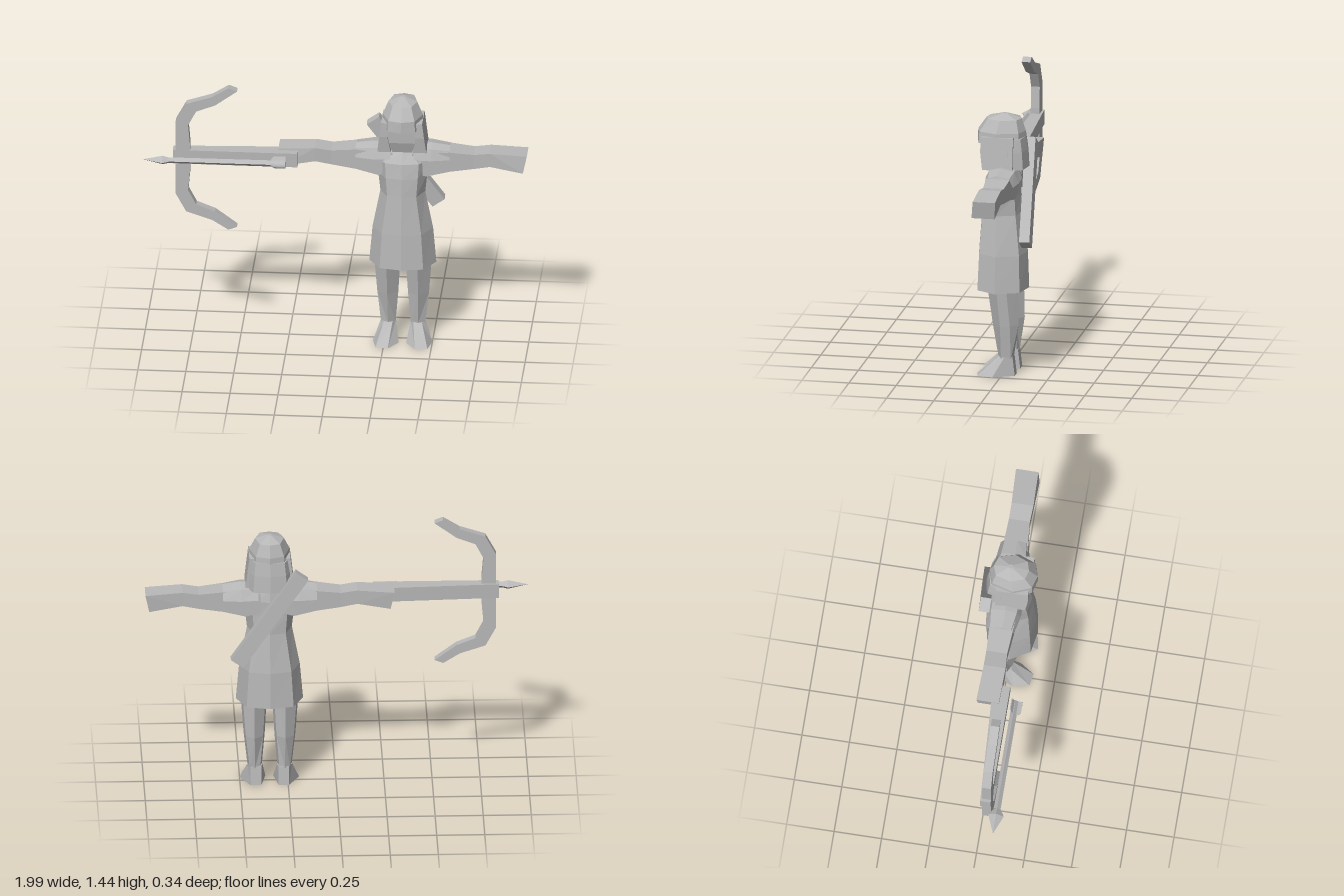
import * as THREE from 'three';

const CX = 0.345; // the figure stands to one side of the weapon

// Skin a list of equal-length cross-sections; capped solids are wound outward automatically.
function loft(rings, open = false) {
  const pos = [], n = rings[0].length;
  const tri = (a, b, c) => pos.push(...a, ...b, ...c);
  for (let i = 0; i < rings.length - 1; i++) {
    const a = rings[i], b = rings[i + 1];
    for (let j = 0; j < (open ? n - 1 : n); j++) {
      const k = (j + 1) % n;
      tri(a[j], a[k], b[k]);
      tri(a[j], b[k], b[j]);
    }
  }
  if (!open) {
    [rings[0], rings[rings.length - 1]].forEach((r, e) => {
      const c = [0, 1, 2].map(q => r.reduce((s, p) => s + p[q], 0) / n);
      for (let j = 0; j < n; j++) {
        const p = r[j], q = r[(j + 1) % n];
        if (e) tri(c, p, q); else tri(c, q, p);
      }
    });
    let vol = 0;
    const a = new THREE.Vector3(), b = new THREE.Vector3(), c = new THREE.Vector3();
    for (let i = 0; i < pos.length; i += 9) {
      a.fromArray(pos, i); b.fromArray(pos, i + 3); c.fromArray(pos, i + 6);
      vol += a.dot(b.cross(c));
    }
    if (vol < 0) {
      for (let i = 0; i < pos.length; i += 9) {
        for (let q = 0; q < 3; q++) [pos[i + 3 + q], pos[i + 6 + q]] = [pos[i + 6 + q], pos[i + 3 + q]];
      }
    }
  }
  const g = new THREE.BufferGeometry();
  g.setAttribute('position', new THREE.Float32BufferAttribute(pos, 3));
  g.computeVertexNormals();
  return g;
}

// Eight-sided horizontal section: height, half width, front z, back z
const oct = ([y, w, f, b]) => {
  const m = (f + b) / 2, h = (f - b) / 2;
  return [[0, 1], [0.65, 0.85], [1, 0.1], [0.7, -0.8], [0, -1], [-0.7, -0.8], [-1, 0.1], [-0.65, 0.85]]
    .map(([x, z]) => [x * w, y, m + z * h]);
};
// Rectangular sections across x or y
const rectX = (x, y0, y1, z0, z1) => [[x, y0, z0], [x, y1, z0], [x, y1, z1], [x, y0, z1]];
const rectY = (y, x0, x1, z0, z1) => [[x0, y, z0], [x0, y, z1], [x1, y, z1], [x1, y, z0]];

export function createModel() {
  const model = new THREE.Group();
  const figure = new THREE.Group();
  figure.name = 'figure';
  figure.position.x = CX;
  const weapon = new THREE.Group();
  weapon.name = 'crossbow';
  model.add(figure, weapon);
  const grey = new THREE.MeshStandardMaterial({ color: 0xb8b8b8, flatShading: true, side: THREE.DoubleSide });
  grey.name = 'plain grey';
  const add = (parent, name, geo) => {
    const m = new THREE.Mesh(geo, grey);
    m.name = name;
    parent.add(m);
    return m;
  };

  // Tunic
  add(figure, 'tunic', loft([
    [0.455, 0.175, 0.148, -0.125], [0.65, 0.158, 0.14, -0.118], [0.86, 0.117, 0.124, -0.09],
    [0.96, 0.128, 0.118, -0.085], [1.04, 0.135, 0.105, -0.085], [1.095, 0.075, 0.07, -0.075],
  ].map(oct)));

  // Head: face, crown of hair and hanging hair
  add(figure, 'face', loft([
    rectY(1.1, -0.05, 0.05, -0.05, 0.075), rectY(1.16, -0.075, 0.075, -0.06, 0.095),
    rectY(1.25, -0.08, 0.08, -0.06, 0.1),
  ]));
  add(figure, 'hairCrown', loft([
    [1.24, 0.11, 0.148, -0.11], [1.3, 0.105, 0.145, -0.107], [1.365, 0.075, 0.1, -0.085], [1.39, 0.012, 0.015, -0.01],
  ].map(oct)));
  add(figure, 'hairBack', loft([
    [1.11, 0.125, 0.04, -0.125], [1.2, 0.118, 0.04, -0.118], [1.27, 0.108, 0.04, -0.108],
  ].map(oct)));

  for (const s of [1, -1]) {
    const side = s > 0 ? 'left' : 'right';
    const mirror = rings => rings.map(r => r.map(([x, y, z]) => [s * x, y, z]));

    add(figure, side + 'HairLock', loft(mirror([
      rectY(1.11, 0.058, 0.128, -0.06, 0.1), rectY(1.2, 0.074, 0.117, -0.06, 0.112),
      rectY(1.28, 0.074, 0.107, -0.06, 0.112),
    ])));

    // Arm with a blunt wrist
    add(figure, side + 'Arm', loft(mirror([
      rectX(0.05, 0.98, 1.09, -0.075, 0.07), rectX(0.125, 0.96, 1.09, -0.075, 0.065),
      rectX(0.245, 0.987, 1.097, -0.07, 0.055), rectX(0.37, 1.003, 1.083, -0.065, 0.045),
      rectX(0.455, 1.02, 1.095, -0.065, 0.05),
      [[0.628, 0.99, -0.068], [0.648, 1.083, -0.073], [0.648, 1.083, 0.045], [0.628, 0.99, 0.055]],
    ])));

    // Shoulder cape, an open arch over the arm
    const arch = (x, lo, hi, f, b) => [[x, lo, f], [x, hi - 0.015, f * 0.75], [x, hi, 0], [x, hi - 0.015, b * 0.75], [x, lo, b]];
    add(figure, side + 'ShoulderCape', loft(mirror([
      arch(0.06, 1.06, 1.128, 0.085, -0.1), arch(0.15, 1.055, 1.128, 0.08, -0.1), arch(0.245, 1.055, 1.115, 0.06, -0.088),
    ]), true));

    // Leg
    const legRing = (y, x0, x1, z0, z1) => {
      const m = (x0 + x1) / 2, c = (z0 + z1) / 2;
      return [[m, y, z1], [x1, y, c + 0.02], [x1 - 0.01, y, c - 0.03], [m, y, z0], [x0 + 0.01, y, c - 0.03], [x0, y, c + 0.02]];
    };
    add(figure, side + 'Leg', loft(mirror([
      legRing(0.09, 0.04, 0.115, -0.058, 0.022), legRing(0.27, 0.025, 0.135, -0.085, 0.052),
      legRing(0.5, 0.012, 0.152, -0.08, 0.085),
    ])));

    // Foot flaring to a broad toe
    add(figure, side + 'Foot', loft(mirror([
      [[0.045, 0, -0.068], [0.1, 0, -0.068], [0.155, 0, 0.04], [0.135, 0, 0.125], [0.07, 0, 0.135], [0.02, 0, 0.06]],
      [[0.045, 0.1, -0.056], [0.1, 0.1, -0.056], [0.117, 0.1, -0.015], [0.1, 0.1, 0.022], [0.055, 0.1, 0.022], [0.038, 0.1, -0.015]],
    ])));
  }

  // Quiver slung diagonally across the back
  const top = new THREE.Vector3(0.18, 1.205, -0.105), low = new THREE.Vector3(0.52, 0.73, -0.14);
  const quiver = add(model, 'quiver', new THREE.BoxGeometry(0.078, top.distanceTo(low), 0.055));
  quiver.position.copy(top).add(low).multiplyScalar(0.5);
  quiver.quaternion.setFromUnitVectors(new THREE.Vector3(0, 1, 0), top.clone().sub(low).normalize());

  // Stock, tapering in plan
  const plan = [[-0.85, 0.035], [-0.3, 0.005], [-0.2, 0.045], [-0.2, 0.09], [-0.85, 0.09]];
  add(weapon, 'stock', loft([1.0, 1.077].map(y => plan.map(([x, z]) => [x, y, z]))));

  // Curved bow, mirrored about the stock
  const outer = [[-0.835, 0.085], [-0.835, 0.207], [-0.78, 0.308], [-0.645, 0.352], [-0.56, 0.405]];
  const inner = [[-0.515, 0.388], [-0.63, 0.304], [-0.728, 0.266], [-0.77, 0.186], [-0.76, 0.072]];
  const half = [...outer, ...inner];
  const outline = [...half, ...half.slice().reverse().map(([x, y]) => [x, -y])];
  const bow = add(weapon, 'bow', new THREE.ExtrudeGeometry(
    new THREE.Shape(outline.map(([x, y]) => new THREE.Vector2(x, y))), { depth: 0.046, bevelEnabled: false }));
  bow.position.set(0, 1.035, 0.044);

  // Bolt: shaft, diamond head and fletching
  const diamond = (x, y, z) => [[x, 1.035 + y, 0.127], [x, 1.035, 0.127 + z], [x, 1.035 - y, 0.127], [x, 1.035, 0.127 - z]];
  add(weapon, 'boltShaft', loft([diamond(-0.88, 0.016, 0.018), diamond(-0.26, 0.018, 0.018)]));
  add(weapon, 'boltHead', loft([
    diamond(-1, 0.001, 0.001), diamond(-0.9, 0.024, 0.041), diamond(-0.86, 0.014, 0.016),
  ]));
  for (let i = 0; i < 3; i++) {
    const fin = add(weapon, 'fletching', loft([
      [[-0.335, 0.022, -0.003], [-0.32, 0.038, -0.003], [-0.26, 0.038, -0.003], [-0.26, 0, -0.003], [-0.335, 0, -0.003]],
      [[-0.335, 0.022, 0.003], [-0.32, 0.038, 0.003], [-0.26, 0.038, 0.003], [-0.26, 0, 0.003], [-0.335, 0, 0.003]],
    ]));
    fin.position.set(0, 1.035, 0.127);
    fin.rotation.x = Math.PI / 2 + i * Math.PI * 2 / 3;
  }
  return model;
}
